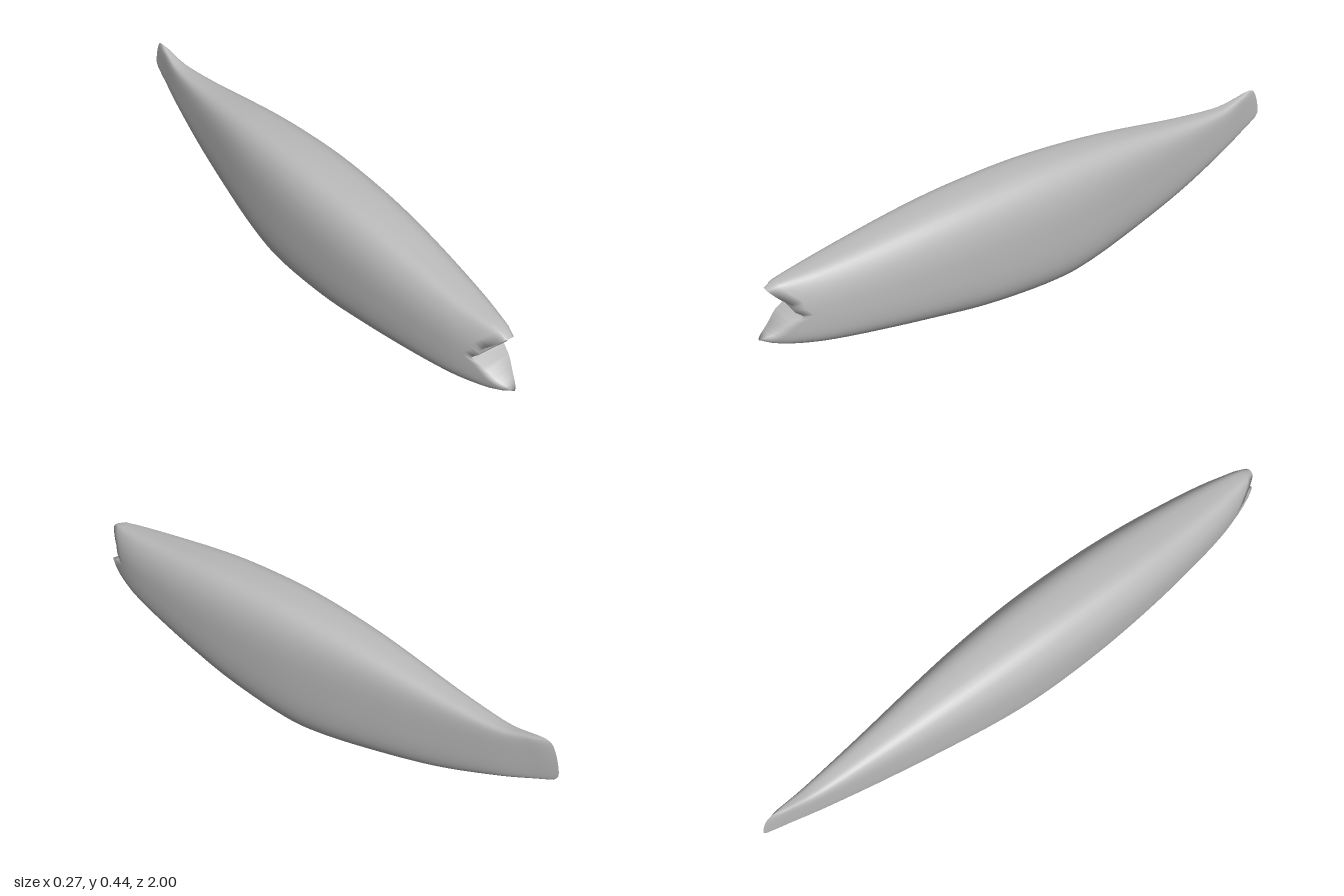
import * as THREE from 'three';

const COLS = 56; // steps from mouth to tail
const RING = 56; // steps around the body
const HALF = RING / 2;

const curve = (pts) => new THREE.SplineCurve(pts.map(([z, y]) => new THREE.Vector2(z, y)));

// Side outline as four curves of (z, y)
const back = curve([[0.96, 0.337], [0.947, 0.346], [0.917, 0.353], [0.78, 0.371], [0.46, 0.415], [0.25, 0.434],
  [0, 0.442], [-0.286, 0.428], [-0.607, 0.393], [-0.79, 0.381], [-0.874, 0.394], [-0.94, 0.411]]);
const belly = curve([[1, 0.178], [0.98, 0.165], [0.917, 0.139], [0.78, 0.107], [0.46, 0.053], [0.25, 0.02],
  [0, 0.002], [-0.152, 0.014], [-0.39, 0.067], [-0.607, 0.128], [-0.81, 0.208], [-0.927, 0.262], [-0.985, 0.29]]);
const mouth = curve([[1, 0.178], [0.985, 0.186], [0.955, 0.199], [0.92, 0.225], [0.88, 0.24],
  [0.901, 0.262], [0.907, 0.285], [0.935, 0.31], [0.96, 0.337]]);
const tail = curve([[-0.985, 0.29], [-0.998, 0.31], [-0.994, 0.34], [-0.98, 0.38], [-0.963, 0.405], [-0.94, 0.411]]);

// Half widths at even steps from z = 1 to z = -1
const widths = curve([0.03, 0.08, 0.11, 0.128, 0.135, 0.132, 0.116, 0.09, 0.061, 0.032, 0.002]
  .map((w, i) => [1 - i * 0.2, w]));

function halfWidth(z) {
  const w = widths.getPoint(THREE.MathUtils.clamp((1 - z) / 2, 0, 1)).y;
  const k = THREE.MathUtils.clamp((1 - z) / 0.1, 0, 1);
  return w * Math.sqrt(1 - (1 - k) ** 2); // rounded snout
}

function bodyGeometry() {
  const pos = [];
  const index = [];
  const bottom = belly.getSpacedPoints(COLS);
  const top = back.getSpacedPoints(COLS);

  // Blend the four outline curves, then swell each station sideways
  for (let i = 0; i <= COLS; i++) {
    const u = i / COLS;
    for (let j = 0; j < RING; j++) {
      const a = (j / RING) * Math.PI * 2;
      const s = -Math.cos(a);
      const v = THREE.MathUtils.clamp((s + 1) / 2, 0, 1);
      const f = mouth.getPoint(v);
      const t = tail.getPoint(v);
      const blend = (k) => (1 - u) * f[k] + u * t[k] + (1 - v) * bottom[i][k] + v * top[i][k]
        - (1 - u) * ((1 - v) * bottom[0][k] + v * top[0][k])
        - u * ((1 - v) * bottom[COLS][k] + v * top[COLS][k]);
      const z = blend('x');
      const round = Math.pow(Math.max(0, 1 - Math.abs(s) ** 2.8), 1 / 2.8);
      const x = i === COLS || j % HALF === 0 ? 0 : Math.sign(Math.sin(a)) * round * halfWidth(z);
      pos.push(x, blend('y'), z);
    }
  }
  for (let i = 0; i < COLS; i++) {
    for (let j = 0; j < RING; j++) {
      const a = i * RING + j;
      const c = i * RING + ((j + 1) % RING);
      index.push(a, a + RING, c, a + RING, c + RING, c);
    }
  }

  // Mouth face between both sides, with a sharp fold at the notch
  const notch = HALF / 2;
  const row = (j, copy) => {
    const pair = [(RING - j) % RING, j];
    if (j !== notch) return pair;
    return pair.map((p) => {
      pos.push(...pos.slice(p * 3, p * 3 + 3));
      return pos.length / 3 - 1;
    });
  };
  for (let j = 0; j < HALF; j++) {
    const [l0, r0] = row(j);
    const [l1, r1] = row(j + 1);
    if (l0 !== r0) index.push(l0, r0, r1);
    if (l1 !== r1) index.push(l0, r1, l1);
  }

  const geo = new THREE.BufferGeometry();
  geo.setAttribute('position', new THREE.Float32BufferAttribute(pos, 3));
  geo.setIndex(index);
  geo.computeVertexNormals();
  return geo;
}

export function createModel() {
  const grey = new THREE.MeshStandardMaterial({ color: 0xbbbbbb });
  grey.name = 'plain grey';

  const body = new THREE.Mesh(bodyGeometry(), grey);
  body.name = 'fishBody';

  const model = new THREE.Group();
  model.name = 'fish';
  model.add(body);
  return model;
}
